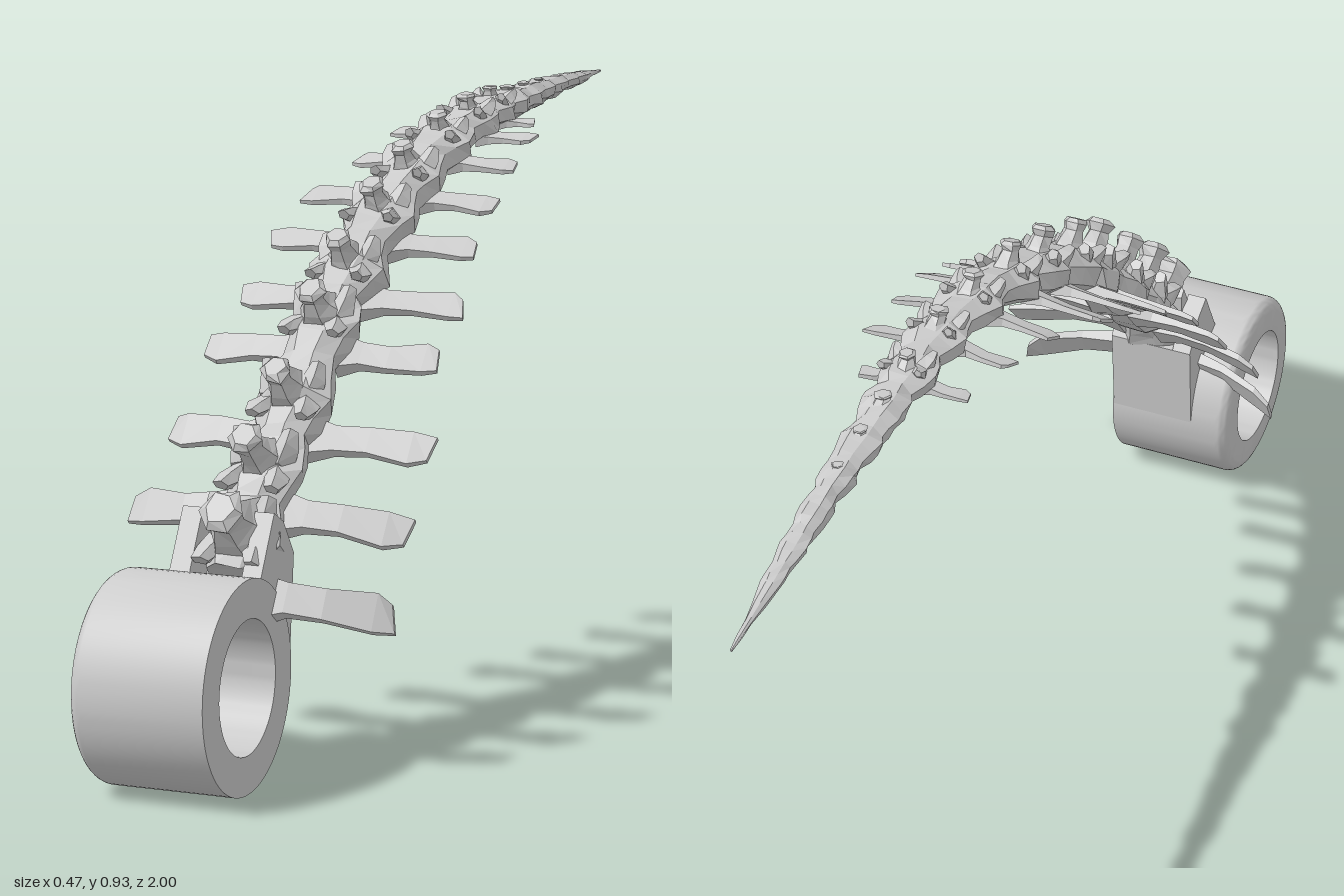
import * as THREE from 'three';
import { toCreasedNormals } from 'three/addons/utils/BufferGeometryUtils.js';

const bone = new THREE.MeshStandardMaterial({ color: 0xcccccc, flatShading: true });
const smooth = new THREE.MeshStandardMaterial({ color: 0xcccccc });
const V = (x, y, z) => new THREE.Vector3(x, y, z);

// Small seeded noise in -1..1
let seed = 7;
const rnd = () => {
  seed = (seed * 16807) % 2147483647;
  return (seed / 2147483647) * 2 - 1;
};

// Centreline of the spine, from the ring to the tip
const path = new THREE.CatmullRomCurve3([
  [0, 0.3, 0.735], [0, 0.36, 0.69], [0, 0.43, 0.63], [0.005, 0.52, 0.53], [0.01, 0.62, 0.425],
  [0.012, 0.695, 0.32], [0.015, 0.757, 0.215], [0.018, 0.806, 0.11], [0.02, 0.842, 0.005],
  [0.02, 0.88, -0.2], [0.01, 0.886, -0.4], [0, 0.888, -0.6], [-0.015, 0.884, -0.8], [-0.03, 0.878, -1],
].map((p) => V(...p)));

// Frame at a given z: local x across, n up from the spine, s along it
function frameAt(z) {
  let lo = 0, hi = 1;
  for (let i = 0; i < 30; i++) {
    const m = (lo + hi) / 2;
    if (path.getPoint(m).z > z) lo = m; else hi = m;
  }
  const c = path.getPoint(lo), t = path.getTangent(lo).setX(0).normalize();
  return (x, n, s) => V(c.x + x, c.y - t.z * n + t.y * s, c.z + t.y * n + t.z * s);
}

// Linear table lookup, z descending
function lookup(table, z) {
  for (let i = 1; i < table.length; i++) {
    const [a, va] = table[i - 1], [b, vb] = table[i];
    if (z >= b) return va + (vb - va) * THREE.MathUtils.clamp((z - a) / (b - a), 0, 1);
  }
  return table[table.length - 1][1];
}
const halfWidth = (z) => lookup([[0.7, 0.056], [0.3, 0.052], [0, 0.048], [-0.3, 0.042], [-0.6, 0.026], [-0.8, 0.018], [-1, 0.002]], z);
const halfHeight = (z) => lookup([[0.7, 0.045], [0.3, 0.04], [0, 0.034], [-0.3, 0.027], [-0.6, 0.02], [-0.8, 0.014], [-1, 0.002]], z);

// Closed skin over a row of cross-sections, always facing outwards
function loft(name, rings) {
  const k = rings[0].length, pts = rings.flat(), idx = [];
  for (let r = 0; r < rings.length - 1; r++) {
    for (let i = 0; i < k; i++) {
      const a = r * k + i, b = r * k + ((i + 1) % k);
      idx.push(a, b, a + k, b, b + k, a + k);
    }
  }
  const last = (rings.length - 1) * k;
  for (let i = 1; i < k - 1; i++) idx.push(0, i + 1, i, last, last + i, last + i + 1);
  let volume = 0;
  for (let i = 0; i < idx.length; i += 3) {
    volume += pts[idx[i]].dot(pts[idx[i + 1]].clone().cross(pts[idx[i + 2]]));
  }
  if (volume < 0) idx.reverse();
  const g = new THREE.BufferGeometry().setFromPoints(pts);
  g.setIndex(idx);
  g.computeVertexNormals();
  const mesh = new THREE.Mesh(g, bone);
  mesh.name = name;
  return mesh;
}

// z of each vertebra, right rib reach, left rib reach, rib droop, rib shift along the spine
const vertebrae = [
  [0.7, 0.237, 0.235, 0.06, -0.075], [0.625, 0.23, 0.225, 0.035, -0.05], [0.525, 0.208, 0.222, 0.015, -0.042],
  [0.415, 0.2, 0.19, 0.01, -0.032], [0.32, 0.178, 0.198, 0.008, -0.03], [0.2, 0.178, 0.168, 0.006, -0.03],
  [0.085, 0.18, 0.152, 0.006, -0.025], [-0.05, 0.146, 0.135, 0.006, -0.02], [-0.18, 0.132, 0.116, 0, -0.015],
  [-0.3, 0.1, 0.085, 0, -0.01],
];
const knobs = [...vertebrae.map((v) => v[0]), -0.4, -0.49, -0.58, -0.67, -0.76, -0.85];

// Chain of vertebral bodies: wide at each vertebra, pinched between
function spineBody() {
  const stations = [[0.732, 0.9]];
  knobs.forEach((z, i) => {
    const next = knobs[i + 1] ?? -1, gap = z - next, fade = z > -0.35 ? 1 : 0.6;
    stations.push([z, 1 + 0.2 * fade], [z - gap * 0.3, 1], [z - gap * 0.55, 1 - 0.2 * fade], [z - gap * 0.8, 1]);
  });
  stations.push([-1, 1]);
  return loft('spineBody', stations.map(([z, f]) => {
    const at = frameAt(z), w = halfWidth(z) * f, h = halfHeight(z) * (0.6 + 0.4 * f);
    return Array.from({ length: 8 }, (_, i) => {
      const a = ((i + 0.5) / 8) * Math.PI * 2, j = 1 + 0.13 * rnd();
      return at(Math.cos(a) * w * j, Math.sin(a) * h * j, z > -1 ? 0.006 * rnd() * f : 0);
    });
  }));
}

// Flat, slightly pitched side rib with a thick root and a slanted blunt end
function rib(z, side, reach, droop, shift, i) {
  const at = frameAt(z), w0 = halfWidth(z), h = halfHeight(z), size = 1 - i * 0.05, pitch = 0.2;
  const rows = [[0, 0.036, 0.02], [0.22, 0.024, 0.013], [0.5, 0.024, 0.009], [0.85, 0.03, 0.007], [1, 0.022, 0.005]];
  return loft(side > 0 ? 'leftRib' : 'rightRib', rows.map(([f, w, t]) => {
    const x = side * (w0 * 0.6 + (reach - w0 * 0.6) * f);
    const n = -h * 0.6 - droop * f * f, s = shift + 0.01 * f + 0.004 * rnd(), skew = f === 1 ? 0.012 * rnd() : 0;
    w *= size; t *= size;
    const p = w * pitch;
    return [at(x, n + t - p, s - w), at(x + skew, n + t * 0.6 + p, s + w), at(x + skew, n - t + p, s + w), at(x, n - t * 0.6 - p, s - w)];
  }));
}

// Upright spine of a vertebra: broad root, narrow neck, knobbed top
function neuralSpine(z, size, tall) {
  const at = frameAt(z), h = halfHeight(z);
  const rows = [[-0.1, 0.044, 0.05, 0.012], [0.35, 0.026, 0.034, 0.006], [0.7, 0.022, 0.024, 0], [0.92, 0.028, 0.03, 0], [1.05, 0.02, 0.022, 0.002]];
  return loft('neuralSpine', rows.map(([f, w, d, s]) => Array.from({ length: 6 }, (_, i) => {
    const a = (i / 6) * Math.PI * 2, j = size * (1 + 0.15 * rnd());
    return at(Math.cos(a) * w * j, h * 0.7 + tall * f, s + Math.sin(a) * d * j);
  })));
}

// Paired joint spur reaching towards the neighbouring vertebra
function jointSpur(z, side, dir, size) {
  const at = frameAt(z), w = halfWidth(z), h = halfHeight(z);
  const rows = [[0, 0.028, 0.45, 0.3], [0.03, 0.022, 0.65, 0.75], [0.055, 0.013, 0.75, 1.1]];
  return loft('jointSpur', rows.map(([s, r, x, n]) => Array.from({ length: 5 }, (_, i) => {
    const a = (i / 5) * Math.PI * 2, q = r * size * (1 + 0.15 * rnd());
    return at(side * w * x + Math.cos(a) * q, h * n + Math.sin(a) * q, dir * s * size);
  })));
}

// Thick ring, rounded on one outer edge
function mountRing() {
  const R = 0.163, r = 0.103, x0 = -0.155, x1 = 0.063, f = 0.022;
  const p = [new THREE.Vector2(r, x0)];
  for (let i = 0; i <= 6; i++) {
    const a = (i / 6) * Math.PI / 2;
    p.push(new THREE.Vector2(R - f + Math.sin(a) * f, x0 + f - Math.cos(a) * f));
  }
  p.push(new THREE.Vector2(R, x1), new THREE.Vector2(r, x1), new THREE.Vector2(r, x0));
  const g = toCreasedNormals(new THREE.LatheGeometry(p, 72).rotateZ(-Math.PI / 2), 0.6);
  const mesh = new THREE.Mesh(g, smooth);
  mesh.name = 'mountRing';
  mesh.position.set(0, R, 0.837);
  return mesh;
}

// Slab with a side outline of [z, y] points between two x values
function slab(name, outline, x0, x1) {
  return loft(name, [x0, x1].map((x) => outline.map(([z, y]) => V(x, y, z))));
}

export function createModel() {
  const model = new THREE.Group();
  model.name = 'spineTail';

  // Ring and the channel bracket holding the spine
  const cheek = [[0.72, 0.27], [0.785, 0.31], [0.73, 0.405], [0.695, 0.385], [0.657, 0.33], [0.674, 0.17]];
  const back = [[0.7, 0.33], [0.657, 0.33], [0.674, 0.17], [0.715, 0.24]];
  model.add(mountRing(), slab('bracketCheek', cheek, -0.088, -0.055),
    slab('bracketCheek', cheek, 0.03, 0.061), slab('bracketBack', back, -0.055, 0.03));

  // Vertebrae
  model.add(spineBody());
  vertebrae.forEach(([z, right, left, droop, shift], i) => {
    const size = 1 - i * 0.05, v = new THREE.Group();
    v.name = 'vertebra';
    v.add(rib(z, -1, right, droop, shift, i), rib(z, 1, left, droop, shift, i));
    v.add(neuralSpine(z, i ? size : 1.25, 0.083 * (1 - 0.08 * i)));
    for (const side of [-1, 1]) for (const dir of [-1, 1]) v.add(jointSpur(z, side, dir, size));
    model.add(v);
  });

  // Fading crests along the tail
  [-0.4, -0.49, -0.58].forEach((z, i) => model.add(neuralSpine(z, 0.5 - i * 0.08, 0.014 - i * 0.003)));
  return model;
}
